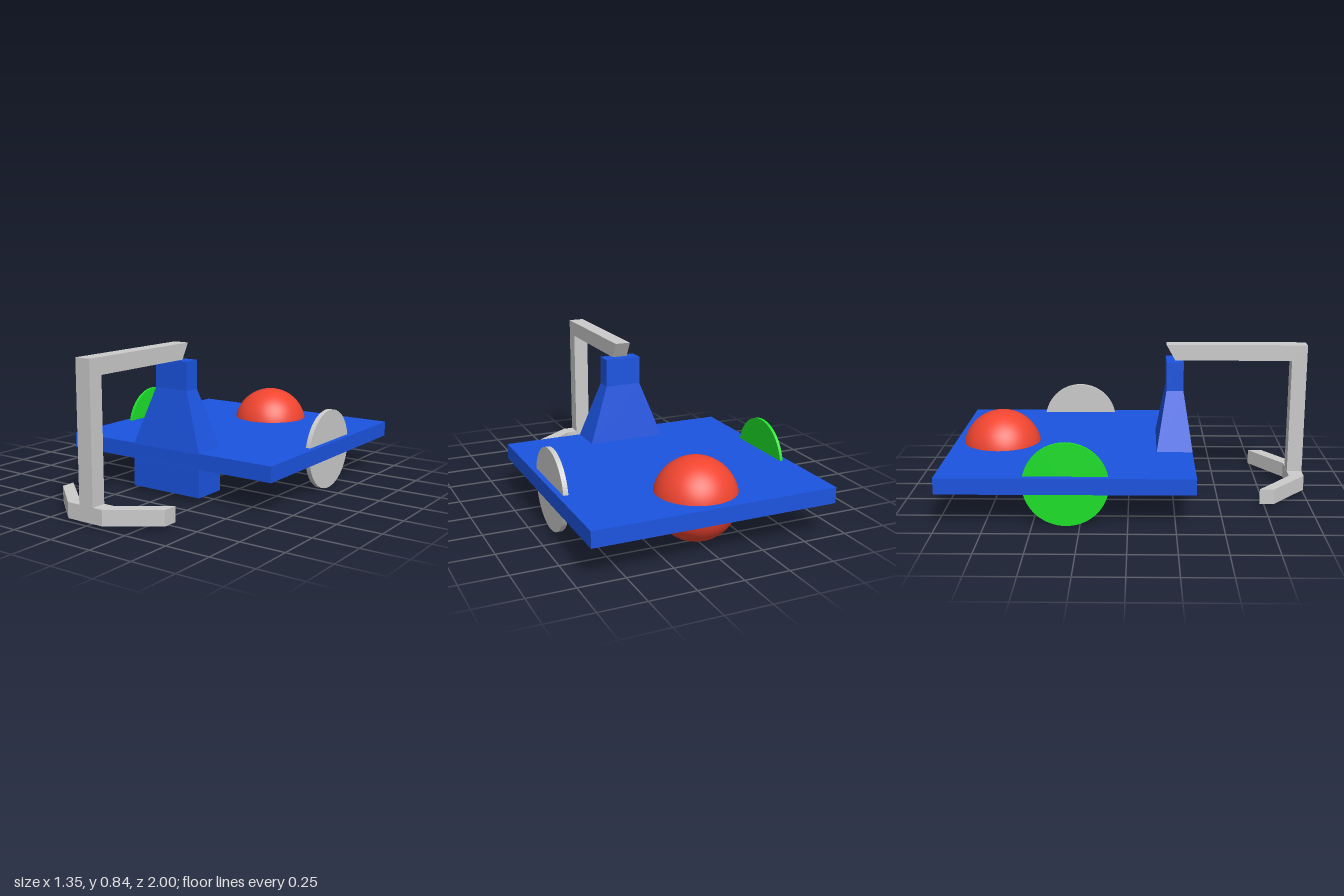
import * as THREE from 'three';

const mat = (color) => new THREE.MeshStandardMaterial({ color });

function extrude(points, depth) {
  const shape = new THREE.Shape(points.map(([a, b]) => new THREE.Vector2(a, b)));
  return new THREE.ExtrudeGeometry(shape, { depth, bevelEnabled: false });
}

// Box given by its limits on each axis
function boxBetween(x0, x1, y0, y1, z0, z1) {
  return new THREE.BoxGeometry(x1 - x0, y1 - y0, z1 - z0)
    .translate((x0 + x1) / 2, (y0 + y1) / 2, (z0 + z1) / 2);
}

export function createModel() {
  const model = new THREE.Group();
  const blue = mat(0x1c54e0), red = mat(0xf04530), green = mat(0x1de12a), grey = mat(0xcccccc);
  const add = (name, geometry, material) => {
    const mesh = new THREE.Mesh(geometry, material);
    mesh.name = name;
    model.add(mesh);
    return mesh;
  };

  // Flat deck with a block beneath its front edge
  add('deck', boxBetween(-0.677, 0.677, 0.187, 0.275, -1, 0.355), blue);
  add('frontBlock', boxBetween(-0.226, 0.226, 0.028, 0.19, 0.157, 0.357), blue);

  // Tapered tower: a box whose top corners are drawn in
  const taper = boxBetween(-0.226, 0.226, 0.27, 0.597, 0.155, 0.357);
  const p = taper.attributes.position;
  for (let i = 0; i < p.count; i++) {
    if (p.getY(i) > 0.5) {
      p.setX(i, Math.sign(p.getX(i)) * 0.105);
      p.setZ(i, p.getZ(i) > 0.25 ? 0.305 : 0.21);
    }
  }
  const flatTaper = taper.toNonIndexed();
  flatTaper.computeVertexNormals();
  add('towerTaper', flatTaper, blue);
  add('towerNeck', boxBetween(-0.105, 0.105, 0.597, 0.757, 0.21, 0.305), blue);

  // Overhead arm and front post, drawn from the side as (z, y)
  const arm = extrude([
    [1, 0.02], [1, 0.847], [0.21, 0.847], [0.26, 0.758], [0.915, 0.758], [0.915, 0.02],
  ], 0.09);
  add('armAndPost', arm.translate(0, 0, -0.045).rotateY(-Math.PI / 2), grey);

  // Swept foot bar, drawn from above as (x, z)
  const foot = extrude([
    [-0.354, 0.72], [-0.354, 0.8], [-0.125, 0.999], [0.103, 0.999],
    [0.356, 0.82], [0.356, 0.735], [0.103, 0.914], [-0.125, 0.914],
  ], 0.085);
  add('footBar', foot.rotateX(Math.PI / 2).translate(0, 0.105, 0), grey);

  // Rear ball set through the deck
  add('rearBall', new THREE.SphereGeometry(0.224, 64, 40), red).position.set(0, 0.23, -0.735);

  // Thin side discs standing through the deck
  const disc = (name, x, thickness, material) => {
    const geometry = new THREE.CylinderGeometry(0.226, 0.226, thickness, 64).rotateZ(Math.PI / 2);
    add(name, geometry, material).position.set(x, 0.229, -0.322);
  };
  disc('rightDisc', -0.635, 0.017, green);
  disc('leftDisc', 0.634, 0.027, grey);

  return model;
}
